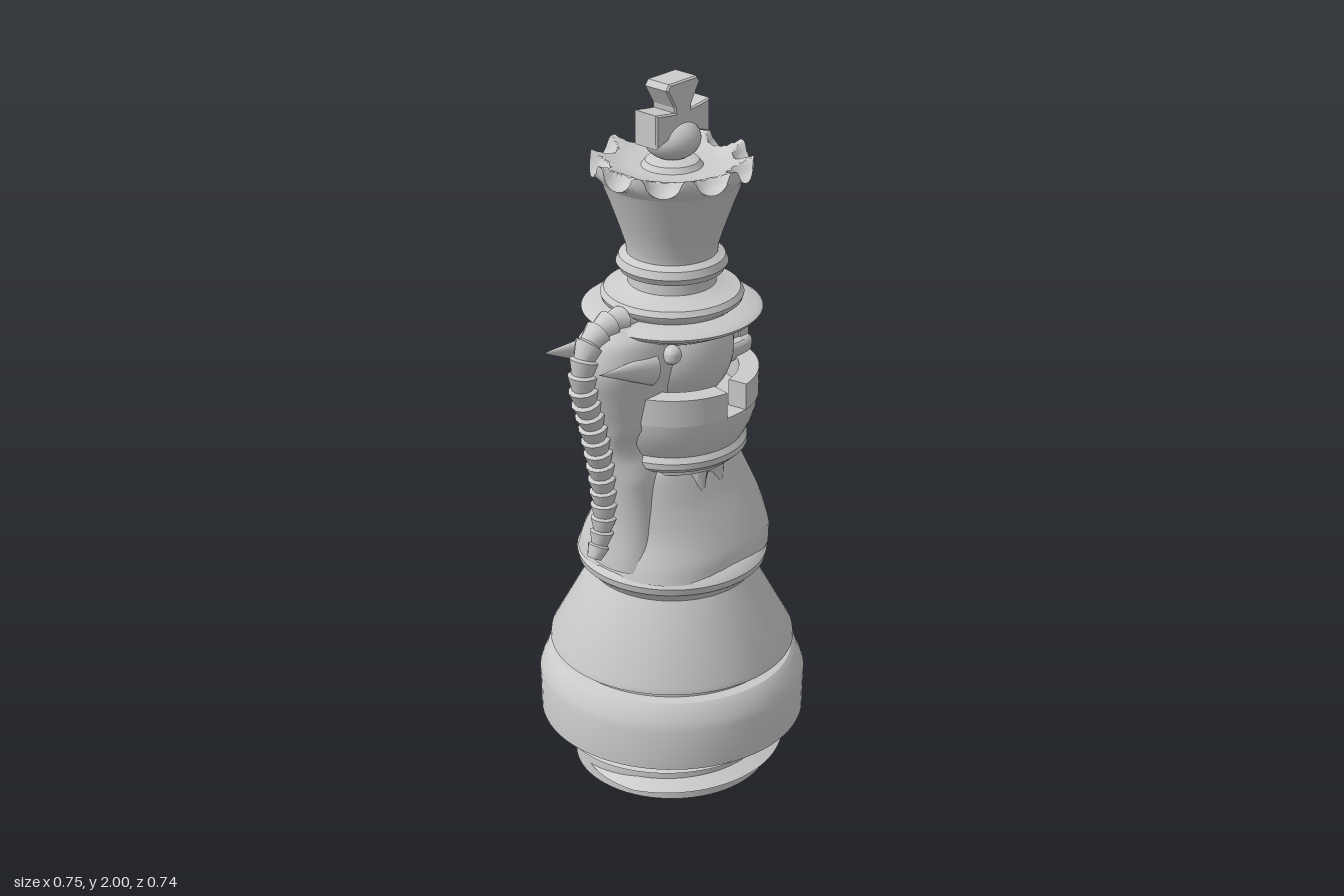
import * as THREE from 'three';
import { toCreasedNormals } from 'three/addons/utils/BufferGeometryUtils.js';

const V = (x, y, z) => new THREE.Vector3(x, y, z);
const material = new THREE.MeshStandardMaterial({ color: 0xcccccc });

export function createModel() {
  const model = new THREE.Group();

  function add(name, geometry, crease = 0.6) {
    const mesh = new THREE.Mesh(toCreasedNormals(geometry, crease), material);
    mesh.name = name;
    model.add(mesh);
    return mesh;
  }

  const turned = (name, profile, crease) =>
    add(name, new THREE.LatheGeometry(profile.map(p => new THREE.Vector2(...p)), 72), crease);

  // Skins a row of closed cross-sections and caps both ends
  function skin(rings) {
    const n = rings[0].length, points = rings.flat(), index = [];
    for (let j = 0; j < rings.length - 1; j++) for (let i = 0; i < n; i++) {
      const a = j * n + i, b = j * n + (i + 1) % n;
      index.push(a, b, b + n, a, b + n, a + n);
    }
    [rings[0], rings.at(-1)].forEach((ring, end) => {
      const c = points.length, start = end ? (rings.length - 1) * n : 0;
      points.push(ring.reduce((s, p) => s.add(p), V(0, 0, 0)).divideScalar(n));
      for (let i = 0; i < n; i++) {
        const a = start + i, b = start + (i + 1) % n;
        index.push(c, end ? a : b, end ? b : a);
      }
    });
    const g = new THREE.BufferGeometry().setFromPoints(points);
    g.setIndex(index);
    return g;
  }

  // Upright loft from sections [y, xMin, xMax, zHalf]; a lower power squares the section
  function loft(sections, power = 0.75, n = 40) {
    const curve = new THREE.CatmullRomCurve3(sections.map(s => V(s[1], s[0], s[2])));
    const depth = new THREE.CatmullRomCurve3(sections.map(s => V(s[3], 0, 0)));
    const steps = sections.length * 4, rings = [];
    const bend = v => Math.sign(v) * Math.abs(v) ** power;
    for (let j = 0; j <= steps; j++) {
      const s = curve.getPoint(j / steps), d = depth.getPoint(j / steps).x;
      rings.push(Array.from({ length: n }, (_, i) => {
        const a = i / n * Math.PI * 2;
        return V((s.x + s.z) / 2 + bend(Math.cos(a)) * (s.z - s.x) / 2, s.y, -bend(Math.sin(a)) * d);
      }));
    }
    return skin(rings);
  }

  // Hollow screw collar, drum, flared foot and waist ring
  turned('base', [[0, .16], [.235, .16], [.235, 0], [.275, 0], [.275, .16], [.37, .16], [.372, .28],
    [.365, .3], [.35, .335], [.335, .35], [.31, .355], [.31, .37], [.34, .38], [.338, .395],
    [.225, .605], [.23, .615], [.258, .64], [.262, .66], [.25, .675], [.22, .69], [0, .69]], 0.5);

  // Screw thread
  const thread = [];
  for (let k = 0; k <= 180; k++) {
    const t = k / 180, a = Math.PI * (-0.6 + 3.4 * t), y = .055 + .065 * a / (2 * Math.PI);
    const h = Math.min(1, t * 15, (1 - t) * 15) + .01;
    thread.push([[.27, .023], [.27 + .045 * h, 0], [.27, -.023]].map(([r, d]) =>
      V(r * Math.sin(a), y + d * h, r * Math.cos(a))));
  }
  add('screwThread', skin(thread), 0.5);

  // Horse body, chest and neck
  add('horseBody', loft([[.67, -.25, .265, .235], [.71, -.24, .27, .228], [.78, -.22, .26, .198],
    [.86, -.215, .235, .16], [.95, -.2, .19, .122], [.98, -.17, .14, .1]], 0.8), 1);
  const chest = new THREE.SphereGeometry(1, 32, 20).scale(.095, .15, .12).translate(.148, .815, 0);
  add('horseChest', chest);
  add('horseNeck', loft([[.69, -.26, -.05, .11], [.82, -.25, -.08, .1], [.98, -.26, -.1, .085],
    [1.1, -.28, -.09, .085], [1.2, -.31, -.05, .1], [1.29, -.33, 0, .115], [1.36, -.31, -.03, .095],
    [1.39, -.26, -.1, .04]], 0.85), 1);

  // Stepped mane running over the crest and down the neck
  const path = new THREE.CatmullRomCurve3([[-.16, 1.385], [-.24, 1.395], [-.315, 1.36], [-.34, 1.27],
    [-.305, 1.13], [-.278, 1], [-.268, .87], [-.285, .78], [-.31, .735]].map(p => V(...p, 0)));
  const mane = [], locks = 20;
  for (let k = 0; k < locks; k++) for (const [t, s] of [[0.02, 1.12], [.9, .82]]) {
    const u = (k + t) / locks, c = path.getPointAt(u), T = path.getTangentAt(u);
    const r = .036 * s * (1 - .35 * u ** 6);
    mane.push(Array.from({ length: 12 }, (_, i) => {
      const a = i / 12 * Math.PI * 2, e = Math.cos(a) * r;
      return V(c.x - T.y * e, c.y + T.x * e, Math.sin(a) * r);
    }));
  }
  add('mane', skin(mane), 0.7);

  // Ears and eyes
  for (const side of [-1, 1]) {
    const ear = add(side > 0 ? 'rightEar' : 'leftEar',
      new THREE.ConeGeometry(.042, .2, 16).scale(1, 1, .75), 1);
    ear.rotation.z = Math.PI / 2 - .25;
    ear.position.set(-.285, 1.307, side * .1);
    const eye = add('eye', new THREE.SphereGeometry(.026, 16, 12));
    eye.position.set(-.13, 1.31, side * .118);
  }

  // Round head inside the tower
  const head = add('roundHead', new THREE.SphereGeometry(.165, 40, 24));
  head.position.y = 1.265;

  // Muzzle with two jaws and rows of teeth
  add('upperJaw', loft([[1.285, 0, .24, .1], [1.3, 0, .25, .102], [1.33, 0, .245, .095],
    [1.35, 0, .22, .075]], 0.45), 0.7);
  add('lowerJaw', loft([[1.185, 0, .22, .08], [1.2, 0, .245, .095], [1.23, 0, .245, .098],
    [1.24, 0, .235, .09]], 0.45), 0.7);
  for (let row = 0; row < 2; row++) for (let i = 0; i < 5; i++) {
    const tooth = add('tooth', new THREE.BoxGeometry(.035, .026, .025));
    tooth.position.set(.222 - .005 * Math.abs(i - 2), 1.25 + row * .029, (i - 2) * .029);
  }
  const mouth = add('mouth', new THREE.BoxGeometry(.2, .08, .13));
  mouth.position.set(.1, 1.26, 0);

  // Fluted robe hanging under the tower
  const robe = [];
  for (const [y, r, f] of [[.8, .1, .03], [.86, .118, .018], [.97, .135, .006]]) {
    robe.push(Array.from({ length: 80 }, (_, i) => {
      const a = i / 80 * Math.PI * 2, w = Math.cos(a * 10);
      return V((r + f * w) * Math.cos(a), y - (y < .85 ? .02 * w : 0), -(r + f * w) * Math.sin(a) * 1.12);
    }));
  }
  add('robe', skin(robe), 0.8);

  // Tower cup with collar
  turned('towerCup', [[0, .955], [.15, .95], [.167, .955], [.168, .972], [.19, .975], [.203, .988],
    [.203, 1.005], [.192, 1.02], [.198, 1.03], [.215, 1.065], [.226, 1.1], [.23, 1.13], [0, 1.13]]);

  // Four battlements
  for (let q = 0; q < 4; q++) {
    const a = q * Math.PI / 2 + .16, b = (q + 1) * Math.PI / 2 - .16;
    const s = new THREE.Shape();
    s.absarc(0, 0, .232, a, b, false);
    s.absarc(0, 0, .178, b, a, true);
    const g = new THREE.ExtrudeGeometry(s, { depth: .075, bevelEnabled: false, curveSegments: 18 });
    add('battlement', g.rotateX(-Math.PI / 2).translate(0, 1.129, 0));
  }

  // Brim, collars and flared crown stem
  turned('brimAndStem', [[0, 1.32], [.14, 1.32], [.19, 1.345], [.233, 1.368], [.24, 1.378], [.228, 1.386],
    [.17, 1.392], [.186, 1.405], [.19, 1.418], [.18, 1.432], [.14, 1.44], [.117, 1.45], [.115, 1.48],
    [.138, 1.487], [.148, 1.505], [.14, 1.525], [.12, 1.535], [.122, 1.555], [.14, 1.61], [.165, 1.68],
    [.187, 1.735], [0, 1.735]]);

  // Crown rim with ten rounded bites
  const rim = [[.187, 1.735], [.2, 1.752], [.212, 1.772]];
  for (let k = 0; k <= 8; k++) rim.push([.21 - k * .008, 1.797 - k * .003]);
  rim.push([.11, 1.768], [.05, 1.768], [0, 1.768]);
  const crown = new THREE.LatheGeometry(rim.map(p => new THREE.Vector2(...p)), 160);
  const P = crown.attributes.position;
  for (let i = 0; i < P.count; i++) {
    const x = P.getX(i), z = P.getZ(i), r = Math.hypot(x, z);
    const step = Math.PI / 5, a = Math.atan2(z, x), off = a - Math.round(a / step) * step;
    const d = Math.hypot(r * Math.cos(off) - .205, r * Math.sin(off)), R = .05;
    if (d < R) P.setY(i, Math.min(P.getY(i), Math.max(1.745, 1.8 - Math.sqrt(R * R - d * d))));
  }
  add('crown', crown, 0.7);

  // Finial ball and flared cross
  turned('finialFoot', [[0, 1.76], [.082, 1.766], [.07, 1.782], [.045, 1.79], [0, 1.79]]);
  const ball = add('finialBall', new THREE.SphereGeometry(.075, 24, 16).scale(1, .75, 1));
  ball.position.y = 1.84;
  const half = [[.035, 1.82], [.03, 1.86], [.06, 1.855], [.098, 1.842], [.098, 1.928], [.06, 1.922],
    [.028, 1.918], [.03, 1.935], [.06, 1.985], [.05, 1.998]];
  const outline = [...half, ...half.map(([x, y]) => [-x, y]).reverse()];
  const cross = new THREE.ExtrudeGeometry(new THREE.Shape(outline.map(p => new THREE.Vector2(...p))),
    { depth: .07, bevelSize: .004, bevelThickness: .005, bevelOffset: -.002, bevelSegments: 1 });
  add('cross', cross.translate(0, 0, -.035), 0.3);

  return model;
}
